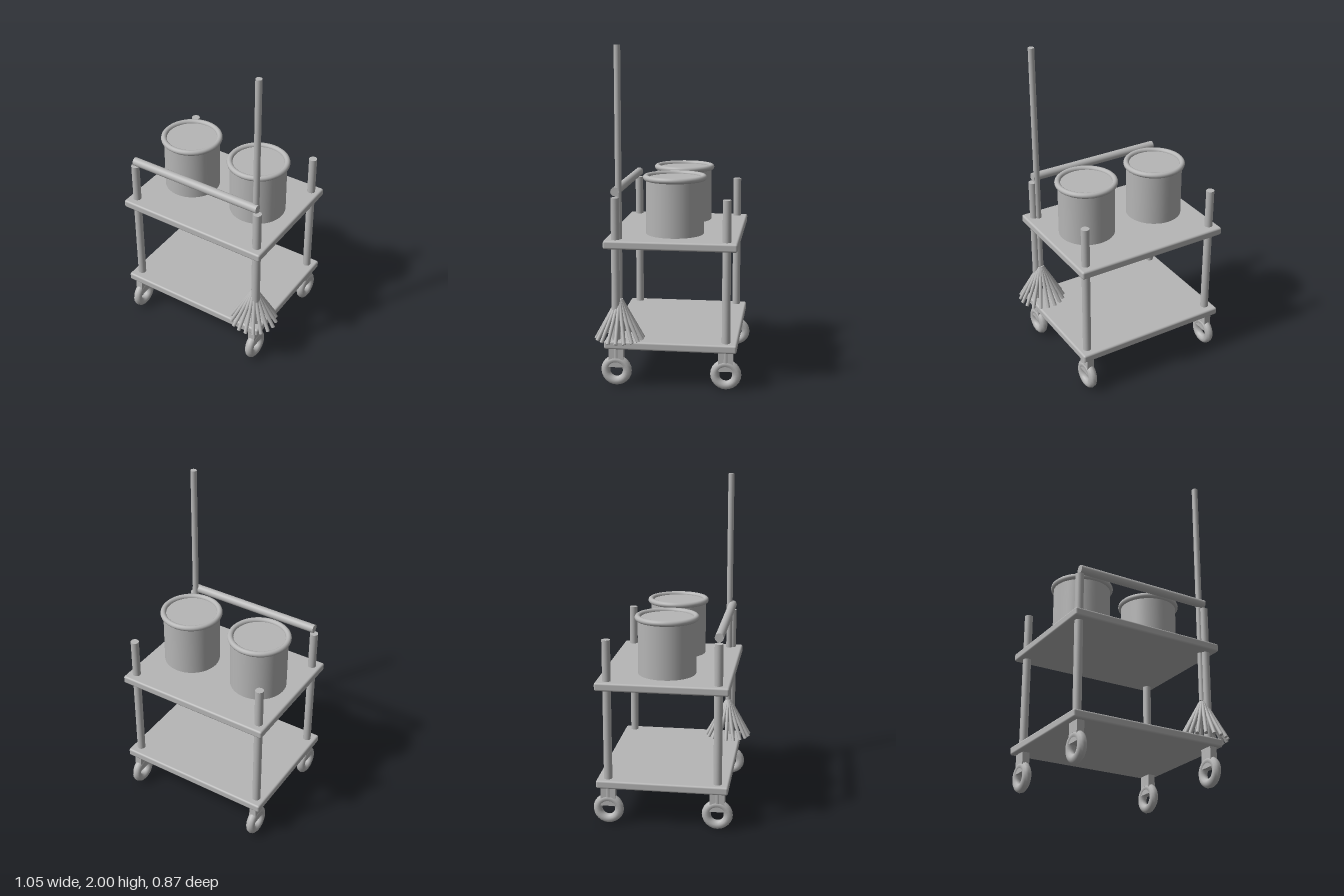
import * as THREE from 'three';
import { RoundedBoxGeometry } from 'three/addons/geometries/RoundedBoxGeometry.js';

export function createModel() {
  const cart = new THREE.Group();
  cart.name = 'cleaningCart';
  const grey = new THREE.MeshStandardMaterial({ color: 0xb6b6b6 });
  grey.name = 'plainGrey';

  const add = (name, geometry, x, y, z, parent = cart) => {
    const mesh = new THREE.Mesh(geometry, grey);
    mesh.name = name;
    mesh.position.set(x, y, z);
    parent.add(mesh);
    return mesh;
  };

  // Cylinder running between two points
  const rod = (name, a, b, radius, sides, parent = cart) => {
    const dir = b.clone().sub(a);
    const mid = a.clone().add(b).multiplyScalar(0.5);
    const mesh = add(name, new THREE.CylinderGeometry(radius, radius, dir.length(), sides), mid.x, mid.y, mid.z, parent);
    mesh.quaternion.setFromUnitVectors(new THREE.Vector3(0, 1, 0), dir.normalize());
    return mesh;
  };
  const v = (x, y, z) => new THREE.Vector3(x, y, z);

  // Two shelves with softened edges
  for (const [name, y] of [['lowerShelf', 0.26], ['upperShelf', 0.86]]) {
    add(name, new RoundedBoxGeometry(0.98, 0.05, 0.78, 3, 0.012), -0.04, y, -0.02);
  }

  // Corner posts, each on a bracket and a ring wheel
  for (const x of [-0.475, 0.395]) {
    for (const z of [0.305, -0.345]) {
      rod('post', v(x, 0.17, z), v(x, 1.13, z), 0.025, 24);
      const caster = new THREE.Group();
      caster.name = 'caster';
      caster.position.set(x, 0, z);
      cart.add(caster);
      add('casterBracket', new THREE.BoxGeometry(0.045, 0.122, 0.088), 0, 0.177, 0, caster);
      const wheel = add('casterWheel', new THREE.TorusGeometry(0.065, 0.027, 10, 24), 0, 0.094, 0, caster);
      wheel.rotation.y = Math.PI / 2;
    }
  }

  // Push handle across the front posts
  rod('pushHandle', v(-0.475, 1.164, 0.305), v(0.395, 1.164, 0.305), 0.026, 24);

  // Two closed buckets with rolled rims
  for (const x of [-0.28, 0.2]) {
    add('bucket', new THREE.CylinderGeometry(0.172, 0.172, 0.335, 48), x, 1.06, -0.02);
    const rim = add('bucketRim', new THREE.TorusGeometry(0.172, 0.0175, 12, 48), x, 1.228, -0.02);
    rim.rotation.x = Math.PI / 2;
  }

  // Mop: tall stick with a cone of strands
  const mop = new THREE.Group();
  mop.name = 'mop';
  mop.position.set(0.374, 0, 0.287);
  cart.add(mop);
  rod('mopStick', v(0, 0.53, 0), v(0, 2, 0), 0.019, 20, mop);
  const strands = 18;
  for (let i = 0; i < strands; i++) {
    const a = (i / strands) * Math.PI * 2;
    const c = Math.cos(a), s = Math.sin(a);
    rod('mopStrand', v(c * 0.01, 0.52, s * 0.01), v(c * 0.14, 0.285, s * 0.14), 0.0115, 10, mop);
  }
  return cart;
}
